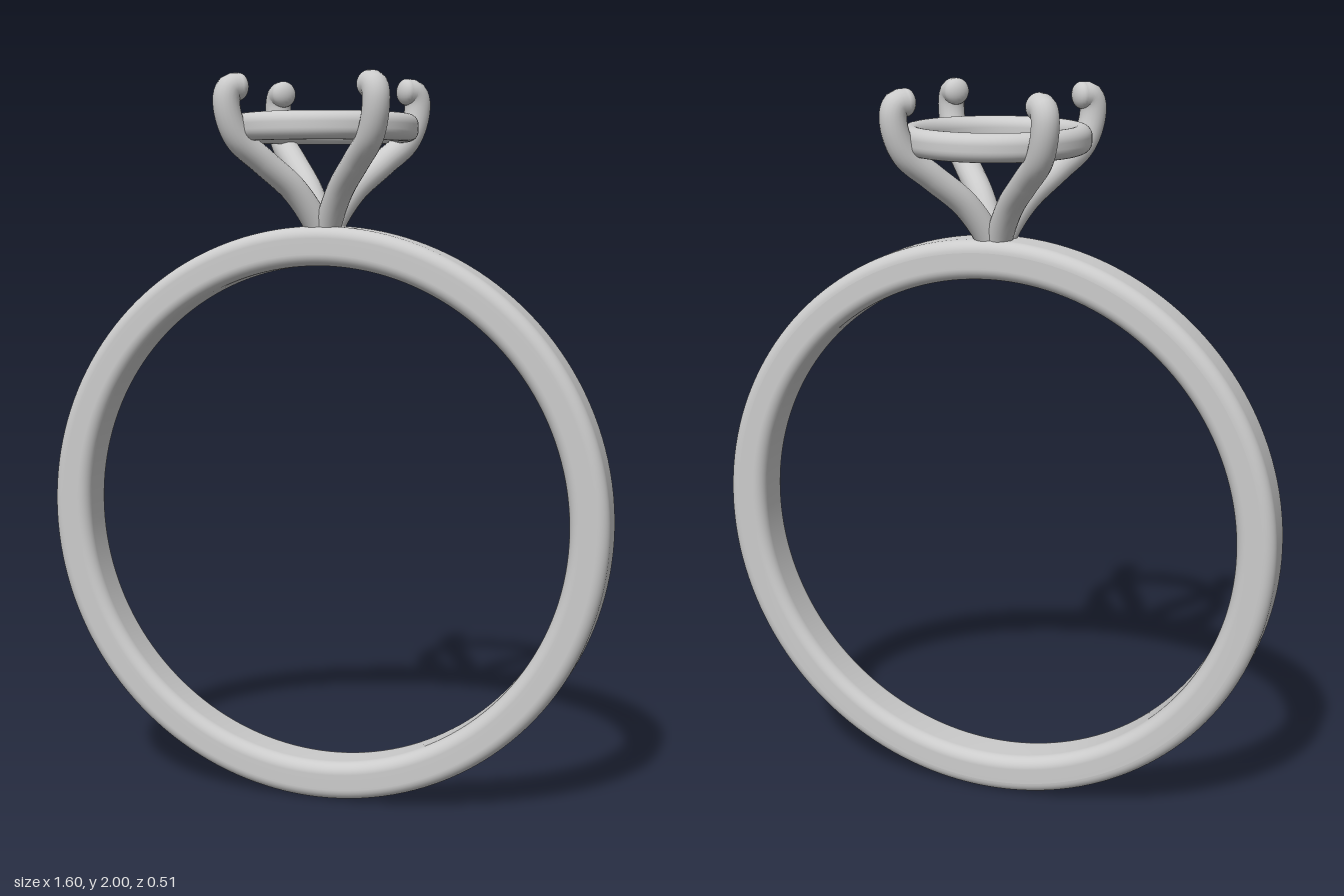
import * as THREE from 'three';

const material = new THREE.MeshStandardMaterial({ color: 0xcccccc, roughness: 0.5 });

function addMesh(parent, name, geometry) {
  const mesh = new THREE.Mesh(geometry, material);
  mesh.name = name;
  parent.add(mesh);
  return mesh;
}

// Closed ring lathed from a rounded-rectangle section, centred at a radius
function roundedRing(radius, halfWidth, halfHeight, corner, segments) {
  const points = [];
  const steps = 8;
  const corners = [[1, -1], [1, 1], [-1, 1], [-1, -1]];
  corners.forEach(([sx, sy], i) => {
    for (let k = 0; k <= steps; k++) {
      const a = (i - 1 + k / steps) * Math.PI / 2;
      points.push(new THREE.Vector2(
        radius + sx * (halfWidth - corner) + corner * Math.cos(a),
        sy * (halfHeight - corner) + corner * Math.sin(a)));
    }
  });
  points.push(points[0].clone());
  return new THREE.LatheGeometry(points, segments);
}

export function createModel() {
  const ring = new THREE.Group();
  ring.name = 'ring';

  // Finger band, standing upright and facing the front
  const band = addMesh(ring, 'band', roundedRing(0.7445, 0.0535, 0.07, 0.032, 160));
  band.rotation.x = Math.PI / 2;
  band.position.y = 0.803;

  // Horizontal gallery ring that carries the stone
  const setting = new THREE.Group();
  setting.name = 'setting';
  ring.add(setting);
  const gallery = addMesh(setting, 'galleryRing', roundedRing(0.223, 0.03, 0.037, 0.029, 96));
  gallery.position.y = 1.862;

  // Prong path as [offset along x and z, height], hooking inward at the tip
  const prongRadius = 0.036;
  const path = [
    [0.005, 1.56], [0.019, 1.61], [0.063, 1.695], [0.128, 1.77], [0.18, 1.83],
    [0.2, 1.89], [0.203, 1.94], [0.195, 1.961], [0.179, 1.964],
  ].map(([d, y]) => new THREE.Vector3(d * Math.SQRT2, y, 0));
  const curve = new THREE.CatmullRomCurve3(path);
  const prongGeometry = new THREE.TubeGeometry(curve, 64, prongRadius, 20);
  const tipGeometry = new THREE.SphereGeometry(prongRadius, 20, 14);

  // Four prongs on the diagonals
  for (let i = 0; i < 4; i++) {
    const prong = new THREE.Group();
    prong.name = 'prong' + (i + 1);
    prong.rotation.y = Math.PI / 4 + i * Math.PI / 2;
    addMesh(prong, 'prongStem', prongGeometry);
    const tip = addMesh(prong, 'prongTip', tipGeometry);
    tip.position.copy(path[path.length - 1]);
    tip.scale.x = 0.7;
    setting.add(prong);
  }
  return ring;
}
